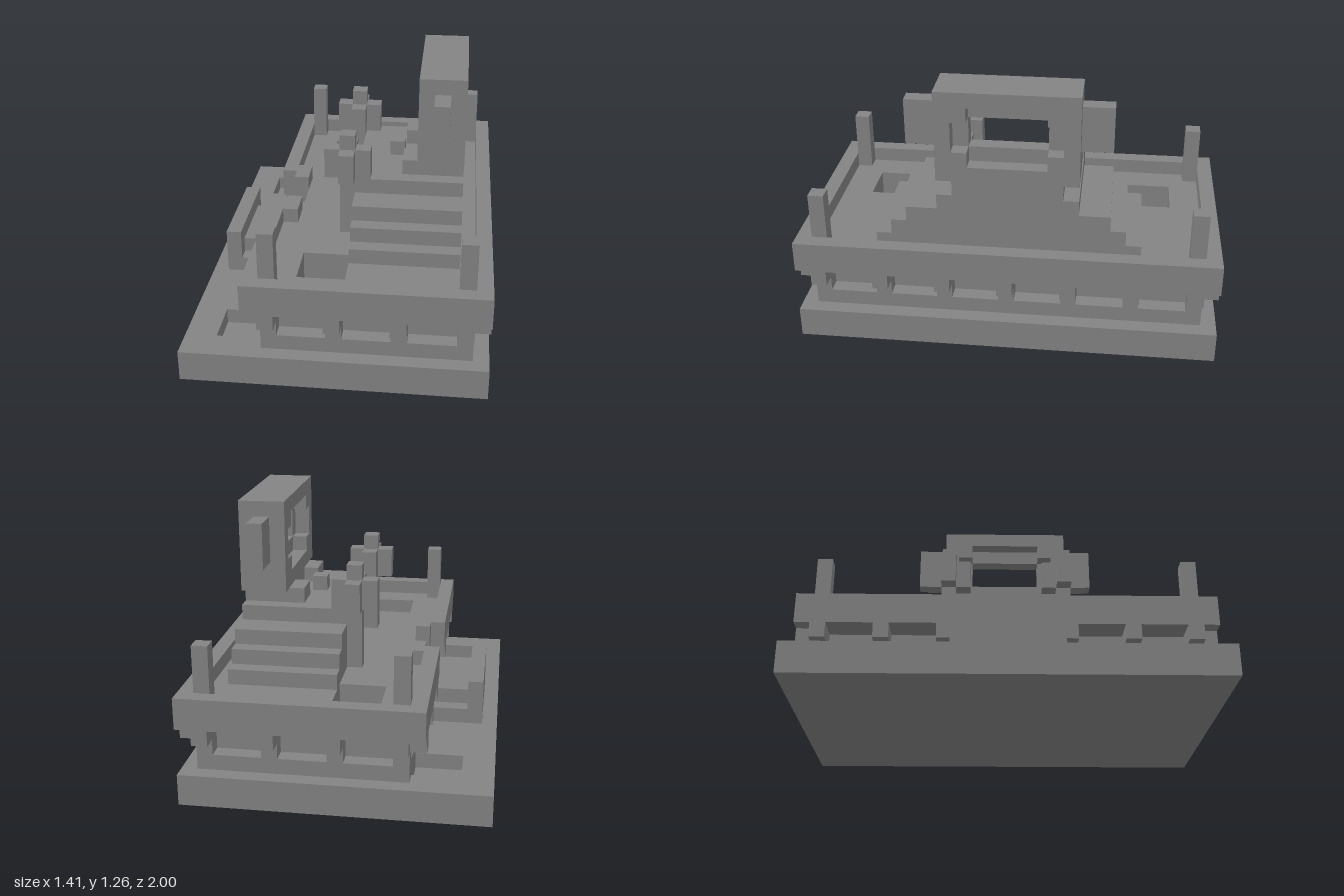
import * as THREE from 'three';

const U = 2 / 27; // size of one block

export function createModel() {
  const model = new THREE.Group();
  model.name = 'shrinePlatform';
  const stone = new THREE.MeshStandardMaterial({ color: 0x838383 });
  stone.name = 'grey stone';

  function add(geometry, name) {
    const mesh = new THREE.Mesh(geometry, stone);
    mesh.name = name;
    model.add(mesh);
    return mesh;
  }
  // Box from its limits, in blocks
  function box(name, x0, x1, y0, y1, z0, z1) {
    const g = new THREE.BoxGeometry((x1 - x0) * U, (y1 - y0) * U, (z1 - z0) * U);
    g.translate((x0 + x1) / 2 * U, (y0 + y1) / 2 * U, (z0 + z1) / 2 * U);
    return add(g, name);
  }
  // The same box on both sides of z = 0
  function pair(name, x0, x1, y0, y1, z0, z1) {
    box(name, x0, x1, y0, y1, z0, z1);
    box(name, x0, x1, y0, y1, -z1, -z0);
  }
  const loop = (pts, Type) => new Type(pts.map(([a, b]) => new THREE.Vector2(a * U, b * U)));
  const rect = (a0, a1, b0, b1) => [[a0, b0], [a1, b0], [a1, b1], [a0, b1]];
  function extrude(outline, holes, depth) {
    const s = loop(outline, THREE.Shape);
    s.holes = holes.map((h) => loop(h, THREE.Path));
    return new THREE.ExtrudeGeometry(s, { depth: depth * U, bevelEnabled: false });
  }
  // Horizontal slab from an outline in x and z
  function slab(name, outline, holes, y0, y1) {
    add(extrude(outline, holes, y1 - y0).rotateX(-Math.PI / 2).translate(0, y0 * U, 0), name);
  }
  // Upright slab from an outline in z and y
  function upright(name, outline, holes, x0, x1) {
    add(extrude(outline, holes, x1 - x0).rotateY(Math.PI / 2).translate(x0 * U, 0, 0), name);
  }

  // Base with two sunken areas
  box('baseFoot', -9.5, 9.5, 0, 1, -13.5, 13.5);
  slab('baseTop', rect(-9.5, 9.5, -13.5, 13.5),
    [rect(-7.5, -4.5, 8.5, 11.5), rect(-7.5, -4.5, -11.5, -8.5)], 1, 2);

  // Lower storey: plinth, inset core with stair wells
  const wells = [rect(-2.5, 0.5, 7.5, 10.5), rect(-2.5, 0.5, -10.5, -7.5)];
  box('plinth', -4.5, 8.5, 2, 3, -12.5, 12.5);
  slab('core', rect(-3.5, 7.5, -11.5, 11.5), wells, 3, 5);

  // Posts between the windows, each with a bracket under the overhang
  for (const z of [-12, -8, -4, 0, 4, 8, 12]) {
    box('sidePost', 7.5, 8.5, 3, 5, z - 0.5, z + 0.5);
    box('sideBracket', 8.5, 9.5, 4, 5, z - 0.5, z + 0.5);
    if (z === 0) continue;
    box('gatePost', -4.5, -3.5, 3, 5, z - 0.5, z + 0.5);
    box('gateBracket', -5.5, -4.5, 4, 5, z - 0.5, z + 0.5);
  }
  for (const x of [-4, 0, 4, 8]) {
    pair('endPost', x - 0.5, x + 0.5, 3, 5, 11.5, 12.5);
    pair('endBracket', x - 0.5, x + 0.5, 4, 5, 12.5, 13.5);
  }
  box('gateWall', -4.5, -3.5, 3, 5, -3.5, 3.5);

  // Deck and parapet, stepped inward around the gate
  const deckOutline = [[-5.5, -13.5], [9.5, -13.5], [9.5, 13.5], [-5.5, 13.5], [-5.5, 2.5], [-4.5, 2.5],
    [-4.5, 1.5], [-3.5, 1.5], [-3.5, -1.5], [-4.5, -1.5], [-4.5, -2.5], [-5.5, -2.5]];
  slab('deck', deckOutline, wells, 5, 6);
  box('sideParapet', 8.5, 9.5, 6, 7, -13.5, 13.5);
  pair('endParapet', -5.5, 8.5, 6, 7, 12.5, 13.5);
  pair('gateParapet', -5.5, -4.5, 6, 7, 2.5, 12.5);
  pair('gateReturn', -4.5, -3.5, 6, 7, 1.5, 3.5);

  // Corner pillars
  for (const x of [-4, 8]) pair('cornerPillar', x - 0.5, x + 0.5, 6, 10, 11.5, 12.5);

  // Gate landing with side steps and screen wall
  box('gateScreen', -8.5, -7.5, 2, 5, -3.5, 3.5);
  box('gateLanding', -7.5, -4.5, 2, 4, -2.5, 2.5);
  pair('gateStep', -7.5, -4.5, 2, 3, 2.5, 3.5);

  // Winding steps in the wells
  pair('wellStepTop', -0.5, 0.5, 3, 5, 9.5, 10.5);
  pair('wellStepMiddle', -2.5, -0.5, 3, 4, 9.5, 10.5);
  pair('wellStepSide', -2.5, -1.5, 3, 4, 7.5, 9.5);

  // Stepped mound
  [8.5, 7.5, 6.5, 4.5].forEach((z, i) => box('moundStep', 0.5, 7.5, 6 + i, 7 + i, -z, z));

  // Altar blocks on the mound
  pair('altarBlock', 3.5, 4.5, 10, 11, 1.5, 3.5);
  box('altarStone', 2.5, 3.5, 10, 11, -0.5, 0.5);

  // Tower frame with a cross-shaped recess around a window
  const face = [[-3.5, 10], [3.5, 10], [3.5, 11], [4.5, 11], [4.5, 17], [-4.5, 17], [-4.5, 11], [-3.5, 11]];
  const cross = [[-2.5, 12], [2.5, 12], [2.5, 13], [3.5, 13], [3.5, 15], [2.5, 15],
    [2.5, 16], [-2.5, 16], [-2.5, 15], [-3.5, 15], [-3.5, 13], [-2.5, 13]];
  upright('towerFace', face, [cross], 4.5, 5.5);
  upright('towerMiddle', face, [rect(-2.5, 2.5, 13, 15)], 5.5, 6.5);
  upright('towerBack', face, [cross], 6.5, 7.5);
  pair('towerEar', 5.5, 6.5, 13, 16, 4.5, 6.5);

  // Torches
  pair('torchStem', -0.5, 0.5, 6, 13, 3.5, 4.5);
  pair('torchArmAcross', -1.5, 1.5, 10, 12, 3.5, 4.5);
  pair('torchArmAlong', -0.5, 0.5, 10, 12, 2.5, 5.5);

  return model;
}
